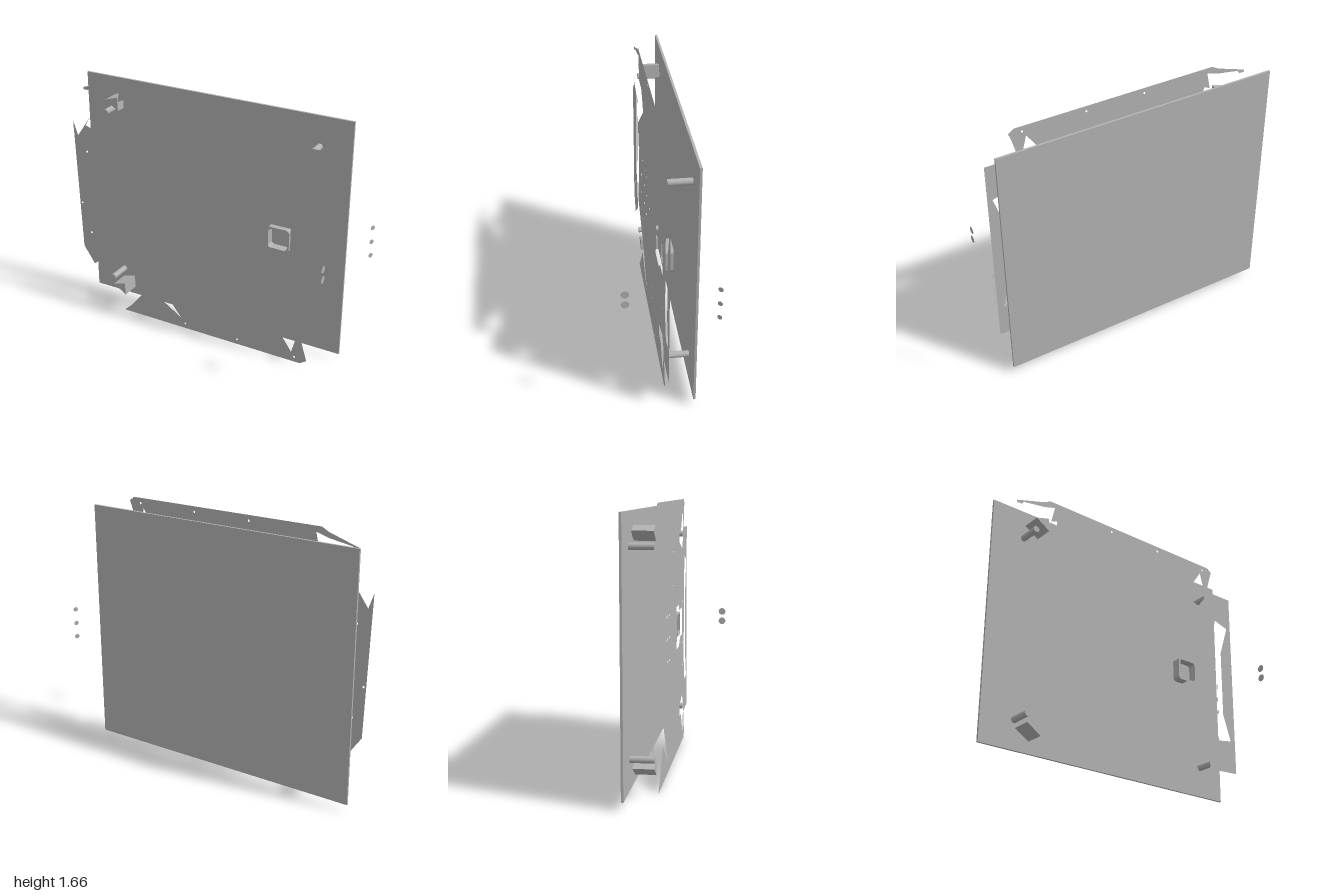
import * as THREE from 'three';

export function createModel() {
  const model = new THREE.Group();
  const grey = new THREE.MeshStandardMaterial({ color: 0xb2b2b2, side: THREE.DoubleSide });
  grey.name = 'panel grey';

  const add = (name, geometry, x = 0, y = 0, z = 0) => {
    const mesh = new THREE.Mesh(geometry, grey);
    mesh.name = name;
    mesh.position.set(x, y, z);
    model.add(mesh);
    return mesh;
  };
  const MID = 0.8325; // height of the horizontal symmetry line
  const flip = pts => pts.map(([x, y]) => [x, 2 * MID - y]);
  const toPts = pts => pts.map(([x, y]) => new THREE.Vector2(x, y));

  // Backing plate
  add('backPlate', new THREE.BoxGeometry(1.842, 1.575, 0.014), -0.05, 0.835, -0.156);

  // Thin front sheet: ragged outline
  const sheet = new THREE.Shape(toPts([
    [0.68, 1.665], [0.715, 1.64], [0.7, 1.6], [0.665, 1.475], [0.875, 1.475],
    [0.875, 0.2], [0.665, 0.19], [0.715, 0.03], [0.67, 0], [-0.655, 0],
    [-0.6, 0.05], [-0.45, 0.23], [-0.2, 0.07], [-0.4, 0.32], [-0.69, 0.51],
    [-0.71, 0.55], [-0.65, 0.72], [-0.65, 0.94], [-0.7, 1.11], [-0.39, 1.34],
    [-0.45, 1.42], [-0.49, 1.455], [-0.6, 1.46], [-0.6, 1.54], [-0.645, 1.52],
    [-0.62, 1.63], [-0.7, 1.605], [-0.85, 1.58], [-0.865, 1.56], [-0.9, 1.56],
    [-0.9, 1.575], [-0.7, 1.64], [-0.655, 1.665],
  ]));
  // Corner cut-outs, side slot and central opening
  const corner = [
    [0.607, 1.598], [0.51, 1.46], [0.45, 1.46], [0.42, 1.435], [0.42, 1.39],
    [0.46, 1.372], [0.596, 1.337], [0.6, 1.36], [0.645, 1.42], [0.645, 1.455],
  ];
  const slot = [[0.735, 1.272], [0.842, 1.24], [0.778, 1.04], [0.778, 0.59],
    [0.837, 0.417], [0.735, 0.4], [0.69, 0.545], [0.69, 1.08]];
  const opening = [[0.243, 0.975], [0.385, 0.975], [0.39, 0.935], [0.57, 0.935],
    [0.57, 0.75], [0.465, 0.75], [0.39, 0.695], [0.243, 0.695], [0.275, 0.76], [0.275, 0.91]];
  for (const pts of [corner, flip(corner), slot, opening]) sheet.holes.push(new THREE.Path(toPts(pts)));

  // Small drilled holes
  const drill = (shape, x, y) =>
    shape.holes.push(new THREE.Path().absarc(x, y, 0.007, 0, Math.PI * 2, true));
  for (let i = 0; i < 6; i++)
    for (const y of [0.975, 0.835, 0.695]) drill(sheet, -0.485 + i * 0.07, y);
  drill(sheet, -0.6, 0.975);
  drill(sheet, -0.04, 0.835);
  for (const [x, y] of [[-0.17, 1.63], [0.22, 1.63], [0.63, 1.63], [0.04, 1.47], [0.094, 1.345],
    [-0.4, 1.132], [0.094, 1.132], [0.596, 1.132], [0.596, 0.975]]) {
    drill(sheet, x, y);
    drill(sheet, x, 2 * MID - y);
  }
  add('frontSheet', new THREE.ShapeGeometry(sheet, 6));

  // Detached left side panel and its narrow inner flange
  const side = new THREE.Shape(toPts([
    [-0.998, 1.33], [-0.965, 1.235], [-0.865, 1.375], [-0.9, 1.315], [-0.757, 1.272],
    [-0.795, 1.08], [-0.797, 0.56], [-0.757, 0.405], [-0.89, 0.3], [-0.97, 0.42], [-0.98, 0.75],
  ]));
  for (const [x, y] of [[-0.9, 1.132], [-0.9, 0.54], [-0.963, 0.75]]) drill(side, x, y);
  add('sidePanel', new THREE.ShapeGeometry(side, 6));
  add('sideFlange', new THREE.ShapeGeometry(new THREE.Shape(toPts([
    [-0.757, 1.272], [-0.71, 1.28], [-0.735, 1.23], [-0.735, 0.42], [-0.71, 0.395], [-0.757, 0.405],
  ]))));

  // Corner posts between plate and sheet
  for (const x of [-0.745, 0.665])
    for (const y of [1.43, 0.23]) {
      const post = add('post', new THREE.CylinderGeometry(0.02, 0.02, 0.145, 24), x, y, -0.0775);
      post.rotation.x = Math.PI / 2;
    }

  // Wedge blocks beside the left posts
  for (const y of [1.5, 0.16]) {
    const wedge = new THREE.Shape(toPts([[-0.745, 0.015], [-0.65, -0.045], [-0.655, 0.042]]));
    add('wedgeBlock', new THREE.ExtrudeGeometry(wedge, { depth: 0.125, bevelEnabled: false }), 0, y, -0.135);
  }

  // Rounded square socket frame
  const rounded = (path, h, r) => {
    for (let i = 0; i < 4; i++) {
      const a = i * Math.PI / 2;
      const sx = i === 0 || i === 3 ? 1 : -1, sy = i < 2 ? 1 : -1;
      path.absarc(sx * (h - r), sy * (h - r), r, a, a + Math.PI / 2, false);
    }
    path.closePath();
    return path;
  };
  const frame = rounded(new THREE.Shape(), 0.077, 0.025);
  frame.holes.push(rounded(new THREE.Path(), 0.064, 0.02));
  add('socketFrame', new THREE.ExtrudeGeometry(frame, { depth: 0.055, bevelEnabled: false, curveSegments: 5 }),
    0.48, 0.832, -0.066);

  // Loose discs off the right edge
  for (const y of [0.87, 0.803])
    add('largeDisc', new THREE.CircleGeometry(0.024, 24), 0.893, y, 0.252).rotation.y = Math.PI / 2;
  for (const y of [0.93, 0.835, 0.742])
    add('smallDisc', new THREE.CircleGeometry(0.015, 20), 0.989, y, -0.262).rotation.y = 0.98;

  return model;
}
